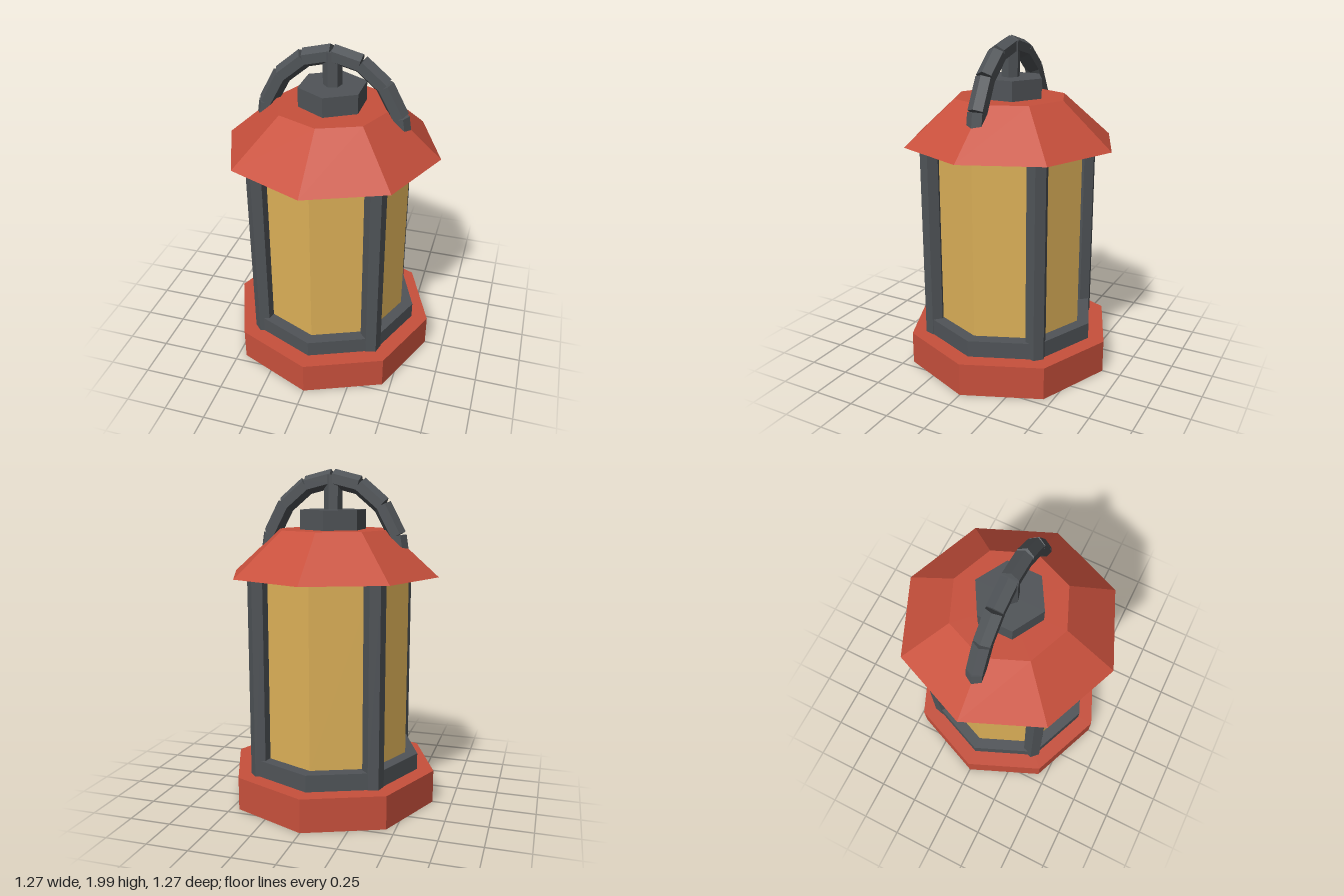
import * as THREE from 'three';

const paint = (name, color) => {
  const m = new THREE.MeshStandardMaterial({ color });
  m.name = name;
  m.flatShading = true;
  return m;
};

export function createModel() {
  const red = paint('red enamel', 0xc8503c);
  const iron = paint('dark iron', 0x505458);
  const amber = paint('amber glass', 0xdcb058);

  const lantern = new THREE.Group();
  lantern.name = 'lantern';

  // Faceted upright prism between two heights
  const prism = (name, mat, sides, rTop, rBottom, y0, y1, x = 0, z = 0, turn = 0) => {
    const mesh = new THREE.Mesh(new THREE.CylinderGeometry(rTop, rBottom, y1 - y0, sides), mat);
    mesh.name = name;
    mesh.position.set(x, (y0 + y1) / 2, z);
    mesh.rotation.y = turn;
    lantern.add(mesh);
    return mesh;
  };

  // Octagonal body
  prism('base', red, 8, 0.636, 0.636, 0, 0.2);
  prism('collar', iron, 8, 0.535, 0.535, 0.2, 0.3);
  prism('glass', amber, 8, 0.46, 0.46, 0.3, 1.38);
  prism('roof', red, 8, 0.335, 0.636, 1.38, 1.645);

  // Four hexagonal corner posts
  for (const sx of [-1, 1]) {
    for (const sz of [-1, 1]) {
      prism('post', iron, 6, 0.062, 0.062, 0.2, 1.38, sx * 0.344, sz * 0.344, Math.PI / 4);
    }
  }

  // Cap and stem that carry the handle
  prism('cap', iron, 6, 0.2, 0.2, 1.645, 1.76);
  prism('stem', iron, 6, 0.055, 0.055, 1.76, 1.96, 0, 0, Math.PI / 4);

  // Arched handle of straight hexagonal bars, an edge facing outward
  const handle = new THREE.Group();
  handle.name = 'handle';
  const joint = (i) => {
    const a = (i * Math.PI) / 8;
    return new THREE.Vector3(0.42 * Math.sin(a), 1.41 + 0.53 * Math.cos(a), 0);
  };
  const up = new THREE.Vector3(0, 1, 0);
  for (let i = -4; i < 4; i++) {
    const a = joint(i), b = joint(i + 1);
    const geo = new THREE.CylinderGeometry(0.055, 0.055, a.distanceTo(b), 6);
    geo.rotateY(Math.PI / 6);
    const bar = new THREE.Mesh(geo, iron);
    bar.name = 'handleBar';
    bar.position.copy(a).add(b).multiplyScalar(0.5);
    bar.quaternion.setFromUnitVectors(up, b.sub(a).normalize());
    handle.add(bar);
  }
  lantern.add(handle);

  return lantern;
}
